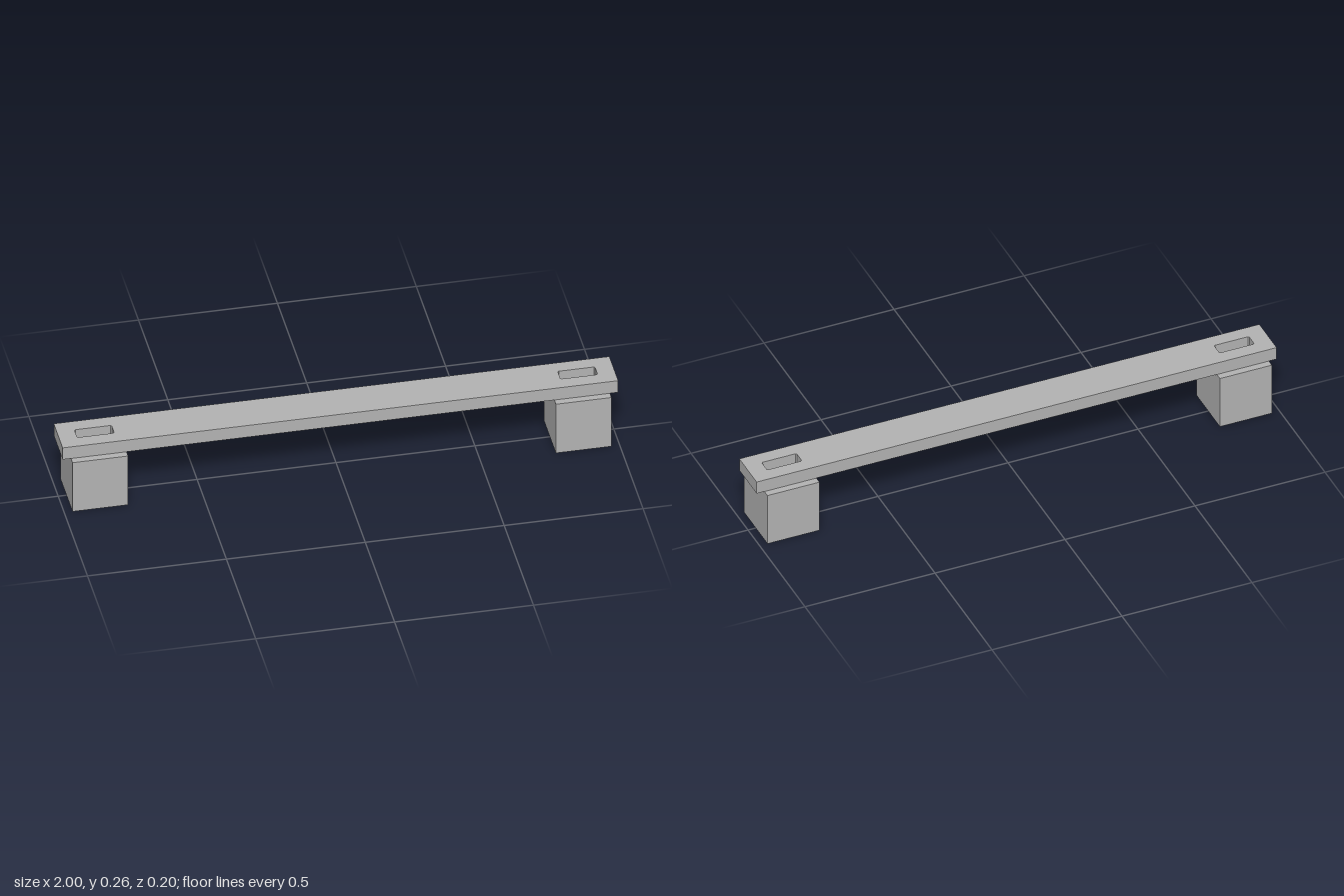
import * as THREE from 'three';

// Rectangle outline centred on (cx, 0), with optional corner chamfer
function rect(Type, cx, hw, hd, c = 0) {
  const pts = [];
  for (const [sx, sy] of [[1, 1], [-1, 1], [-1, -1], [1, -1]]) {
    const a = [cx + sx * hw, sy * (hd - c)], b = [cx + sx * (hw - c), sy * hd];
    const pair = sx * sy > 0 ? [a, b] : [b, a];
    for (const p of c ? pair : [a]) pts.push(new THREE.Vector2(...p));
  }
  return new Type(pts);
}

// Upright block between y0 and y1, pierced by slots at the given x positions
function slottedBlock(name, material, cx, hw, hd, y0, y1, slots) {
  const shape = rect(THREE.Shape, cx, hw, hd);
  for (const x of slots) shape.holes.push(rect(THREE.Path, x, 0.067, 0.024, 0.004));
  const geometry = new THREE.ExtrudeGeometry(shape, { depth: y1 - y0, bevelEnabled: false });
  geometry.rotateX(-Math.PI / 2).translate(0, y0, 0);
  const mesh = new THREE.Mesh(geometry, material);
  mesh.name = name;
  return mesh;
}

export function createModel() {
  const group = new THREE.Group();
  group.name = 'handleBar';
  const grey = new THREE.MeshStandardMaterial({ color: 0xb3b3b3 });
  grey.name = 'grey';
  const slotX = 0.87;

  // Long bar with a slot near each end
  group.add(slottedBlock('bar', grey, 0, 1, 0.076, 0.21, 0.26, [-slotX, slotX]));

  // Foot blocks, slotted right through
  for (const [name, s] of [['leftFoot', 1], ['rightFoot', -1]]) {
    group.add(slottedBlock(name, grey, s * slotX, 0.1, 0.1025, 0, 0.21, [s * slotX]));
  }
  return group;
}
